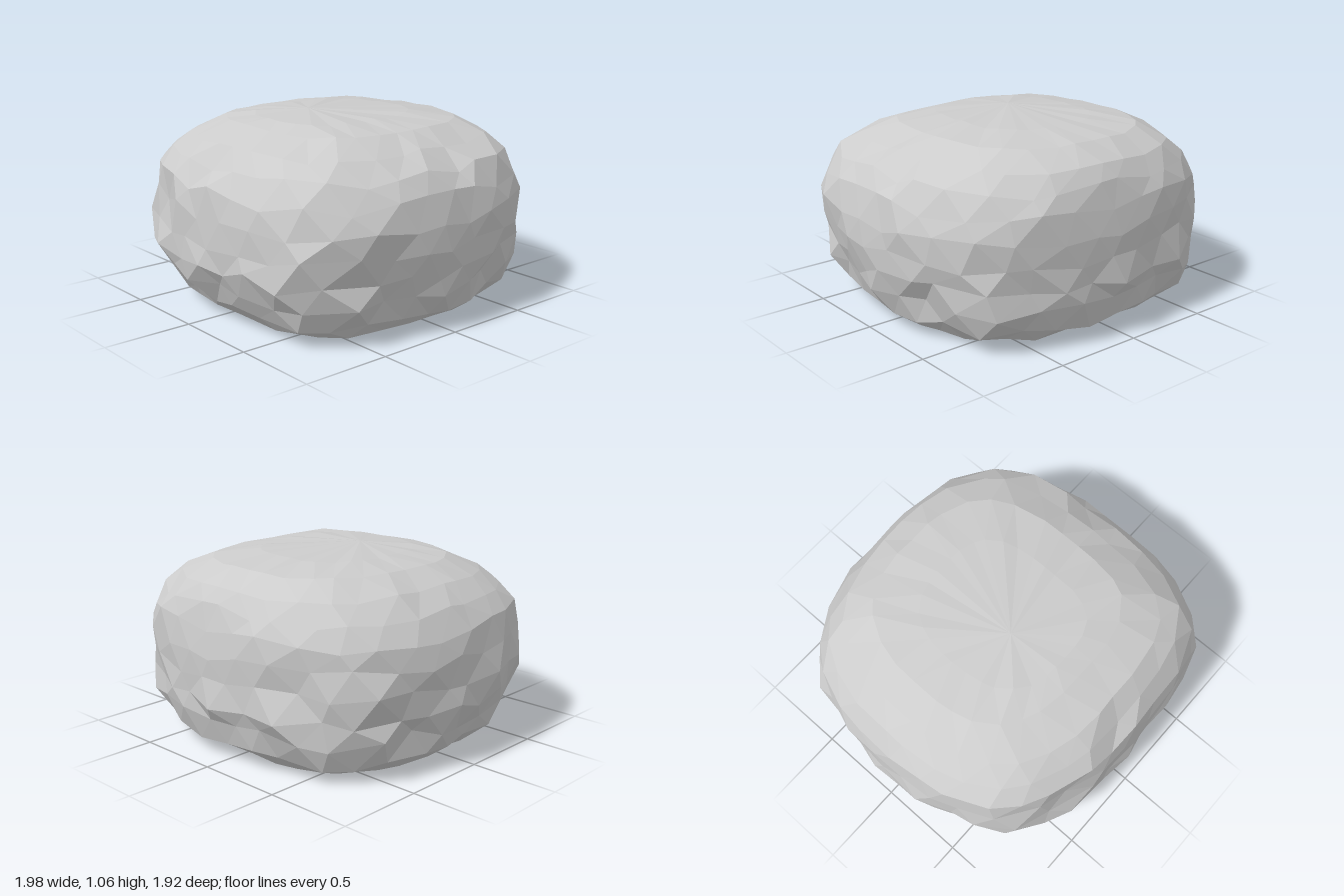
import * as THREE from 'three';

const SIDES = 30;

// Rings from the ground up: y, half extents toward +x, -x, +z, -z, roughness, y jitter
const RINGS = [
  [0.03, 0.82, 0.81, 0.77, 0.78, 0.03, 0.012],
  [0.10, 0.91, 0.92, 0.84, 0.88, 0.05, 0.03],
  [0.21, 0.98, 0.97, 0.92, 0.94, 0.06, 0.04],
  [0.33, 1.00, 1.00, 0.96, 0.965, 0.05, 0.04],
  [0.46, 1.00, 1.00, 0.965, 0.955, 0.045, 0.04],
  [0.60, 0.99, 0.97, 0.94, 0.94, 0.025, 0.04],
  [0.73, 0.95, 0.94, 0.91, 0.92, 0.015, 0.03],
  [0.84, 0.88, 0.86, 0.83, 0.88, 0.012, 0.025],
  [0.93, 0.75, 0.75, 0.74, 0.82, 0.012, 0.015],
  [1.01, 0.59, 0.59, 0.54, 0.67, 0.012, 0.008],
  [1.04, 0.36, 0.38, 0.42, 0.42, 0.01, 0.006],
];

// Corner squareness, by quadrant: front left, front right, back right, back left
const SQUARENESS = [3.7, 2.6, 2.8, 3.0];

// Creases in the sides: angle in degrees, height, angular width, depth
const CREASES = [
  [118, 0.58, 7, 0.05], [128, 0.15, 8, 0.07], [150, 0.30, 7, 0.06],
  [205, 0.28, 7, 0.08], [182, 0.14, 8, 0.05], [335, 0.25, 7, 0.06],
  [28, 0.28, 6, 0.05], [300, 0.30, 6, 0.05], [235, 0.45, 6, 0.05],
];

function seeded(seed) {
  return () => {
    seed = (seed * 16807) % 2147483647;
    return seed / 2147483647;
  };
}

function creaseDepth(angle, y) {
  let depth = 0;
  for (const [deg, height, width, amount] of CREASES) {
    const da = (angle * 180 / Math.PI - deg) / width;
    const dy = (y - height) / 0.14;
    depth += amount * Math.exp(-da * da - dy * dy);
  }
  return depth;
}

function boulderGeometry() {
  const rand = seeded(4217);
  const points = [];
  const index = [];

  // Rounded-square cross-sections with rough, mostly inward, offsets
  RINGS.forEach(([y, right, left, front, back, rough, lift], i) => {
    for (let j = 0; j < SIDES; j++) {
      const step = Math.PI * 2 / SIDES;
      const angle = (j + (i % 2) * 0.5 + (rand() - 0.5) * 0.45) * step;
      const c = Math.cos(angle), s = Math.sin(angle);
      const n = SQUARENESS[c >= 0 ? (s >= 0 ? 0 : 3) : (s >= 0 ? 1 : 2)];
      const r = Math.pow(Math.abs(c) ** n + Math.abs(s) ** n, -1 / n);
      const scale = r * (1 - rand() * rough - creaseDepth(angle, y));
      points.push(
        c * scale * (c > 0 ? right : left),
        y + (rand() - 0.5) * 2 * lift,
        s * scale * (s > 0 ? front : back),
      );
    }
  });

  // Sides, with staggered rings joined by triangles
  for (let i = 0; i < RINGS.length - 1; i++) {
    for (let j = 0; j < SIDES; j++) {
      const k = (j + 1) % SIDES;
      const a = i * SIDES + j, b = i * SIDES + k;
      const c = a + SIDES, d = b + SIDES;
      if (i % 2) index.push(a, c, d, a, d, b);
      else index.push(a, c, b, b, c, d);
    }
  }

  // Underside with a slightly sagging inner ring, then the crown
  const under = points.length / 3;
  for (let j = 0; j < SIDES; j++) {
    const angle = j / SIDES * Math.PI * 2;
    points.push(Math.cos(angle) * 0.5 - 0.06, 0.02 - 0.02 * Math.max(0, Math.sin(angle)), Math.sin(angle) * 0.48);
  }
  const base = points.length / 3;
  points.push(0, 0.03, 0);
  const crown = base + 1;
  points.push(-0.06, 1.062, 0.12);
  const last = (RINGS.length - 1) * SIDES;
  for (let j = 0; j < SIDES; j++) {
    const k = (j + 1) % SIDES;
    index.push(under + j, j, k, under + j, k, under + k);
    index.push(base, under + j, under + k);
    index.push(last + j, crown, last + k);
  }

  const geometry = new THREE.BufferGeometry();
  geometry.setAttribute('position', new THREE.Float32BufferAttribute(points, 3));
  geometry.setIndex(index);
  const faceted = geometry.toNonIndexed();
  faceted.computeVertexNormals();
  return faceted;
}

export function createModel() {
  const group = new THREE.Group();
  group.name = 'rock';
  const material = new THREE.MeshStandardMaterial({ color: 0xcccccc, flatShading: true });
  const boulder = new THREE.Mesh(boulderGeometry(), material);
  boulder.name = 'boulder';
  group.add(boulder);
  return group;
}
